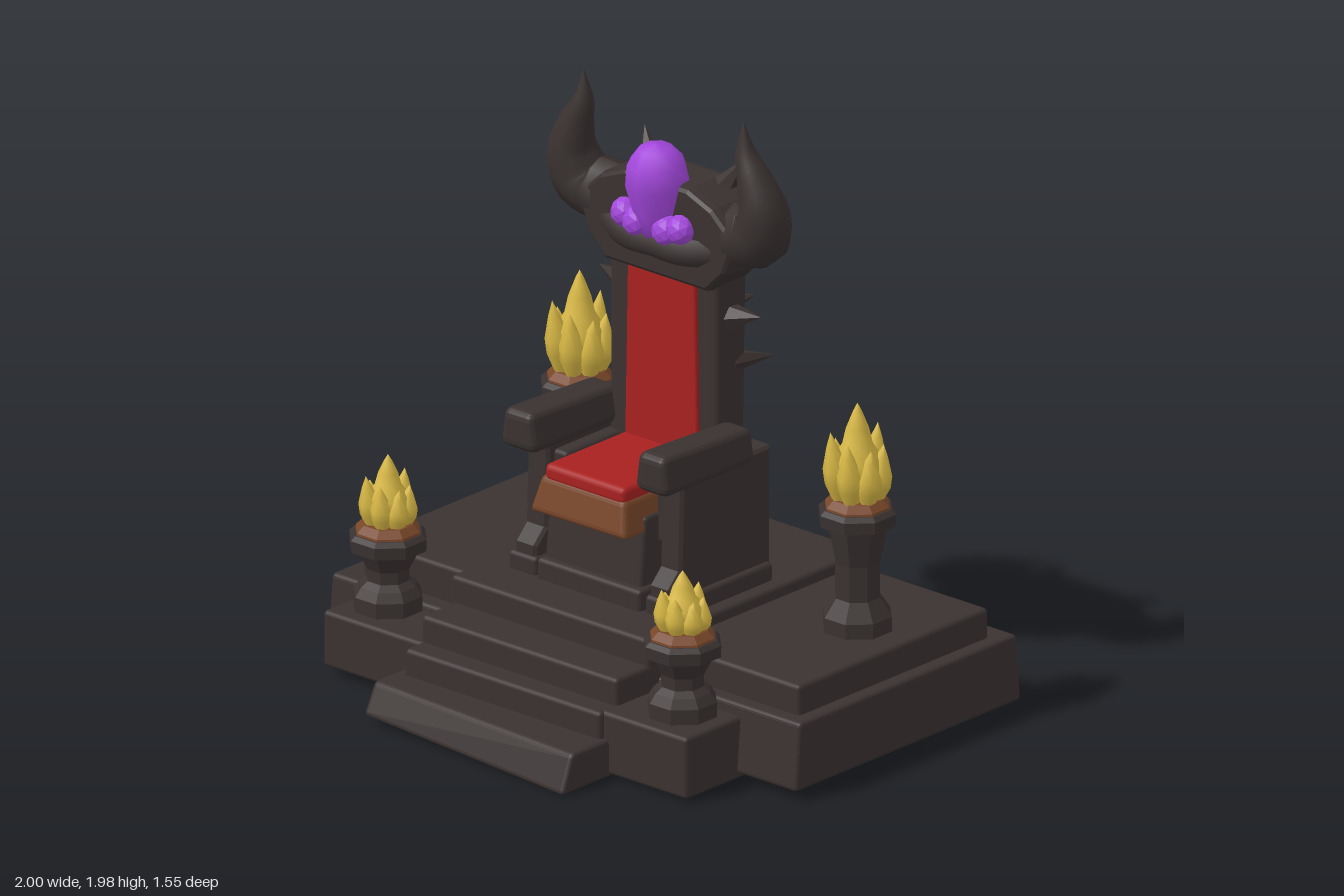
import * as THREE from 'three';
import { RoundedBoxGeometry } from 'three/addons/geometries/RoundedBoxGeometry.js';

const material = (name, color) => {
  const m = new THREE.MeshStandardMaterial({ color });
  m.name = name;
  return m;
};

export function createModel() {
  const root = new THREE.Group();
  root.name = 'throne';
  const stone = material('dark stone', 0x3a3231);
  const red = material('red cloth', 0xa82120);
  const brown = material('brown wood', 0x784629);
  const gold = material('flame gold', 0xd8b845);
  const purple = material('purple crystal', 0xa347dc);

  const add = (name, geo, mat, parent = root) => {
    const mesh = new THREE.Mesh(geo, mat);
    mesh.name = name;
    parent.add(mesh);
    return mesh;
  };
  const faceted = (geo) => {
    const g = geo.index ? geo.toNonIndexed() : geo;
    g.computeVertexNormals();
    return g;
  };
  // Soft-edged block between limits, optionally reshaped by a rule on its vertices
  const block = (name, mat, [x0, x1], [y0, y1], [z0, z1], rule, radius = 0.015) => {
    const g = new RoundedBoxGeometry(x1 - x0, y1 - y0, z1 - z0, 2, radius);
    g.translate((x0 + x1) / 2, (y0 + y1) / 2, (z0 + z1) / 2);
    if (rule) {
      const p = g.attributes.position, v = new THREE.Vector3();
      for (let i = 0; i < p.count; i++) {
        v.fromBufferAttribute(p, i);
        rule(v, (v.y - y0) / (y1 - y0));
        p.setXYZ(i, v.x, v.y, v.z);
      }
      g.computeVertexNormals();
    }
    return add(name, g, mat);
  };
  // Tube whose radius follows the fourth number of each point
  const horn = (name, pts, mat, sides = 10, steps = 24) => {
    const curve = new THREE.CatmullRomCurve3(pts.map((p) => new THREE.Vector3(p[0], p[1], p[2])));
    const g = new THREE.TubeGeometry(curve, steps, 1, sides);
    const pos = g.attributes.position, v = new THREE.Vector3();
    for (let i = 0; i <= steps; i++) {
      const c = curve.getPointAt(i / steps);
      const t = curve.getUtoTmapping(i / steps) * (pts.length - 1);
      const k = Math.min(Math.floor(t), pts.length - 2);
      const r = THREE.MathUtils.lerp(pts[k][3], pts[k + 1][3], t - k);
      for (let j = 0; j <= sides; j++) {
        const n = i * (sides + 1) + j;
        v.fromBufferAttribute(pos, n).sub(c).multiplyScalar(r).add(c);
        pos.setXYZ(n, v.x, v.y, v.z);
      }
    }
    g.computeVertexNormals();
    return add(name, g, mat);
  };
  // Small cone from a base point to a tip
  const spike = (name, from, to, r) => {
    const a = new THREE.Vector3(...from), d = new THREE.Vector3(...to).sub(a);
    const m = add(name, faceted(new THREE.ConeGeometry(r, d.length(), 6)), stone);
    m.position.copy(a).addScaledVector(d, 0.5);
    m.quaternion.setFromUnitVectors(new THREE.Vector3(0, 1, 0), d.normalize());
  };
  const lathe = (pts, sides) => {
    const g = new THREE.LatheGeometry(pts.map((p) => new THREE.Vector2(...p)), sides);
    return g;
  };

  // Stepped platform
  const inset = (a) => (v, t) => { v.z -= a * t * Math.sign(v.z + 0.2); };
  block('baseLeftSide', stone, [-1, 0.38], [0.03, 0.24], [-0.78, 0.31], inset(0.02));
  block('baseRightSide', stone, [0.3, 1], [0.03, 0.26], [-0.75, 0.32], inset(0.02));
  block('upperTierA', stone, [-0.92, -0.4], [0.2, 0.36], [-0.7, 0.23]);
  block('upperTierB', stone, [0.36, 0.95], [0.2, 0.36], [-0.65, 0.25]);
  block('dais', stone, [-0.44, 0.4], [0.2, 0.4], [-0.69, 0.35]);
  block('sideStepA', stone, [-0.84, -0.4], [0.03, 0.22], [0.2, 0.51]);
  block('sideStepB', stone, [0.36, 0.75], [0.01, 0.22], [0.2, 0.56]);
  block('upperStep', stone, [-0.43, 0.4], [0.1, 0.31], [0.2, 0.5]);
  block('middleStep', stone, [-0.43, 0.4], [0.05, 0.22], [0.2, 0.58]);
  block('lowerStep', stone, [-0.47, 0.42], [0, 0.13], [0.2, 0.78], (v, t) => {
    if (v.z > 0.5) v.z -= 0.05 * t + 0.05 * (0.42 - v.x) / 0.9;
    if (v.y < 0.06) v.y += 0.025 * (0.42 - v.x) / 0.9;
  });

  // Seat
  block('seatBase', stone, [-0.21, 0.2], [0.38, 0.7], [-0.28, 0.14], (v, t) => {
    if (v.z > 0) v.z += 0.03 * (1 - t);
  });
  block('seatFoot', stone, [-0.22, 0.22], [0.38, 0.47], [-0.2, 0.19]);
  block('seatFrame', brown, [-0.21, 0.2], [0.65, 0.77], [-0.15, 0.24], (v, t) => {
    v.x *= 1 - 0.14 * t;
    if (v.z > 0) v.z -= 0.03 * t;
    if (t < 0.5) v.y += 0.03 * Math.cos(v.x * 9);
  }, 0.02);
  block('seatCushion', red, [-0.17, 0.17], [0.75, 0.81], [-0.2, 0.21], null, 0.02);

  // Arms: thick side panel with a forward-reaching rest
  for (const s of [-1, 1]) {
    const profile = new THREE.Shape([
      [-0.3, 0.39], [0.16, 0.39], [0.16, 0.49], [0.11, 0.54], [0.1, 0.84],
      [-0.3, 0.84]].map((p) => new THREE.Vector2(...p)));
    const g = new THREE.ExtrudeGeometry(profile, {
      depth: 0.07, bevelThickness: 0.01, bevelSize: 0.01, bevelSegments: 1 });
    g.rotateY(-Math.PI / 2).translate(s * 0.285 + 0.035, 0, 0);
    add('armPanel', g, stone);
    block('armFoot', stone, s < 0 ? [-0.35, -0.23] : [0.23, 0.35], [0.39, 0.46], [-0.3, 0.18]);
    block('armRest', stone, s < 0 ? [-0.36, -0.21] : [0.21, 0.35], [0.82, 0.955], [-0.22, 0.21],
      (v, t) => { if (t > 0.5) { v.x = s * 0.285 + (v.x - s * 0.285) * 0.85; if (v.z < 0) v.y -= 0.015; } }, 0.03);
    block('armInnerRail', stone, s < 0 ? [-0.26, -0.19] : [0.19, 0.26], [0.6, 0.8], [-0.28, 0.08]);
    // Rear buttress feet
    block('rearFoot', stone, s < 0 ? [-0.24, -0.14] : [0.14, 0.24], [0.38, 0.62], [-0.42, -0.2],
      (v, t) => { if (v.z < -0.3) v.z += 0.12 * t; });
  }

  // Backrest
  block('backrest', stone, [-0.24, 0.22], [0.62, 1.66], [-0.33, -0.175], (v, t) => {
    if (v.z < -0.25) v.z += 0.02 * (1 - t);
  }, 0.025);
  block('backPanel', red, [-0.16, 0.15], [0.79, 1.47], [-0.2, -0.16], (v, t) => {
    v.x *= 1 - 0.08 * t;
  }, 0.01);
  for (const [x, w, h] of [[-0.19, 0.09, 0.08], [-0.02, 0.07, 0.05], [0.16, 0.1, 0.09]])
    block('wornPatch', brown, [x - w / 2, x + w / 2], [0.62, 0.62 + h], [-0.322, -0.24], null, 0.01);

  // Crest behind the crystal
  const crestShape = new THREE.Shape([
    [-0.22, 1.4], [0.2, 1.4], [0.27, 1.47], [0.31, 1.58], [0.22, 1.66], [0.12, 1.7],
    [-0.14, 1.7], [-0.24, 1.66], [-0.33, 1.58], [-0.29, 1.47]].map((p) => new THREE.Vector2(...p)));
  const crest = new THREE.ExtrudeGeometry(crestShape, {
    depth: 0.14, bevelThickness: 0.03, bevelSize: 0.015, bevelSegments: 2 });
  crest.translate(0, 0, -0.31);
  add('crest', crest, stone);
  horn('crestBrow', [[-0.24, 1.52, -0.2, 0.06], [-0.13, 1.5, -0.15, 0.05], [-0.01, 1.5, -0.14, 0.045],
    [0.11, 1.5, -0.15, 0.05], [0.22, 1.52, -0.2, 0.06]], stone);

  // Great horns
  for (const s of [-1, 1]) {
    const o = -0.01;
    horn('greatHorn', [[s * 0.16 + o, 1.56, -0.25, 0.1], [s * 0.28 + o, 1.57, -0.24, 0.105],
      [s * 0.375 + o, 1.6, -0.22, 0.1], [s * 0.405 + o, 1.69, -0.2, 0.085],
      [s * 0.38 + o, 1.79, -0.19, 0.06], [s * 0.345 + o, 1.88, -0.185, 0.036],
      [s * 0.34 + o, 1.985, -0.18, 0.002]], stone, 10, 28);
  }

  // Thorns on the crest, sides and rear
  for (const s of [-1, 1]) {
    const o = -0.01;
    spike('crestThorn', [s * 0.12 + o, 1.62, -0.27], [s * 0.215 + o, 1.79, -0.33], 0.07);
    spike('rearCrestThorn', [s * 0.17 + o, 1.64, -0.3], [s * 0.22 + o, 1.7, -0.41], 0.04);
    spike('sideThorn', [s * 0.2 + o, 1.27, -0.25], [s * 0.345 + o, 1.3, -0.26], 0.055);
    spike('lowSideThorn', [s * 0.2 + o, 1.11, -0.28], [s * 0.27 + o, 1.11, -0.41], 0.04);
    spike('smallThorn', [s * 0.19 + o, 1.3, -0.29], [s * 0.23 + o, 1.32, -0.36], 0.03);
  }

  // Crystal with small side clusters
  const crystal = add('crystal', lathe([[0, -0.17], [0.07, -0.16], [0.085, -0.08],
    [0.105, 0.02], [0.095, 0.09], [0.055, 0.14], [0, 0.155]], 9), purple);
  crystal.position.set(-0.015, 1.68, -0.16);
  crystal.rotation.x = 0.1;
  for (const [x, y, r] of [[-0.13, 1.575, 0.05], [-0.075, 1.56, 0.055], [0.05, 1.56, 0.055], [0.105, 1.575, 0.05]]) {
    const m = add('crystalCluster', faceted(new THREE.IcosahedronGeometry(r, 1)), purple);
    m.position.set(x, y, -0.135);
  }

  // Flame: tall tongue ringed by leaning petals, unit height
  const flame = (parent, y, h, r) => {
    const core = add('flameCore', lathe([[0.3, 0], [0.75, 0.25], [0.7, 0.45], [0.42, 0.6],
      [0.32, 0.75], [0.12, 0.92], [0, 1]].map((p) => [p[0] * r, p[1] * h]), 8), gold, parent);
    core.position.y = y;
    for (let i = 0; i < 7; i++) {
      const a = i / 7 * Math.PI * 2 + 0.3, tall = h * (0.6 + 0.07 * (i % 3));
      const petal = add('flamePetal', lathe([[0.16, 0], [0.36, 0.3], [0.36, 0.5], [0.17, 0.8], [0, 1]]
        .map((p) => [p[0] * r, p[1] * tall]), 6), gold, parent);
      petal.position.set(Math.cos(a) * r * 0.5, y, Math.sin(a) * r * 0.5);
      petal.rotation.set(Math.sin(a) * 0.13, 0, -Math.cos(a) * 0.13);
    }
  };
  // Braziers: [x, z, foot, rim, flame tip, stem radius]
  for (const [x, z, y0, y1, tip, stem] of [
    [-0.635, -0.48, 0.34, 0.77, 1.14, 0.075], [0.75, -0.25, 0.34, 0.77, 1.125, 0.075],
    [-0.705, 0.35, 0.2, 0.475, 0.74, 0.072], [0.59, 0.4, 0.2, 0.475, 0.705, 0.072]]) {
    const g = new THREE.Group();
    g.name = 'brazier';
    g.position.set(x, 0, z);
    root.add(g);
    const h = y1 - y0;
    const body = lathe([[0, y0], [0.115, y0], [0.115, y0 + 0.07], [0.095, y0 + 0.1],
      [stem, y0 + 0.1 + h * 0.07], [stem, y0 + h * 0.58], [0.1, y1 - 0.06], [0.128, y1 - 0.05],
      [0.13, y1 - 0.01], [0.115, y1 + 0.005], [0, y1 + 0.005]], 8);
    add('brazierStand', faceted(body.rotateY(Math.PI / 8)), stone, g);
    const embers = lathe([[0.112, y1 - 0.01], [0.108, y1 + 0.012], [0.085, y1 + 0.035], [0, y1 + 0.035]], 8);
    add('embers', faceted(embers.rotateY(Math.PI / 8)), brown, g);
    const r = h > 0.35 ? 0.115 : 0.1;
    flame(g, y1 + 0.015, tip - y1 - 0.015, r);
  }
  return root;
}
